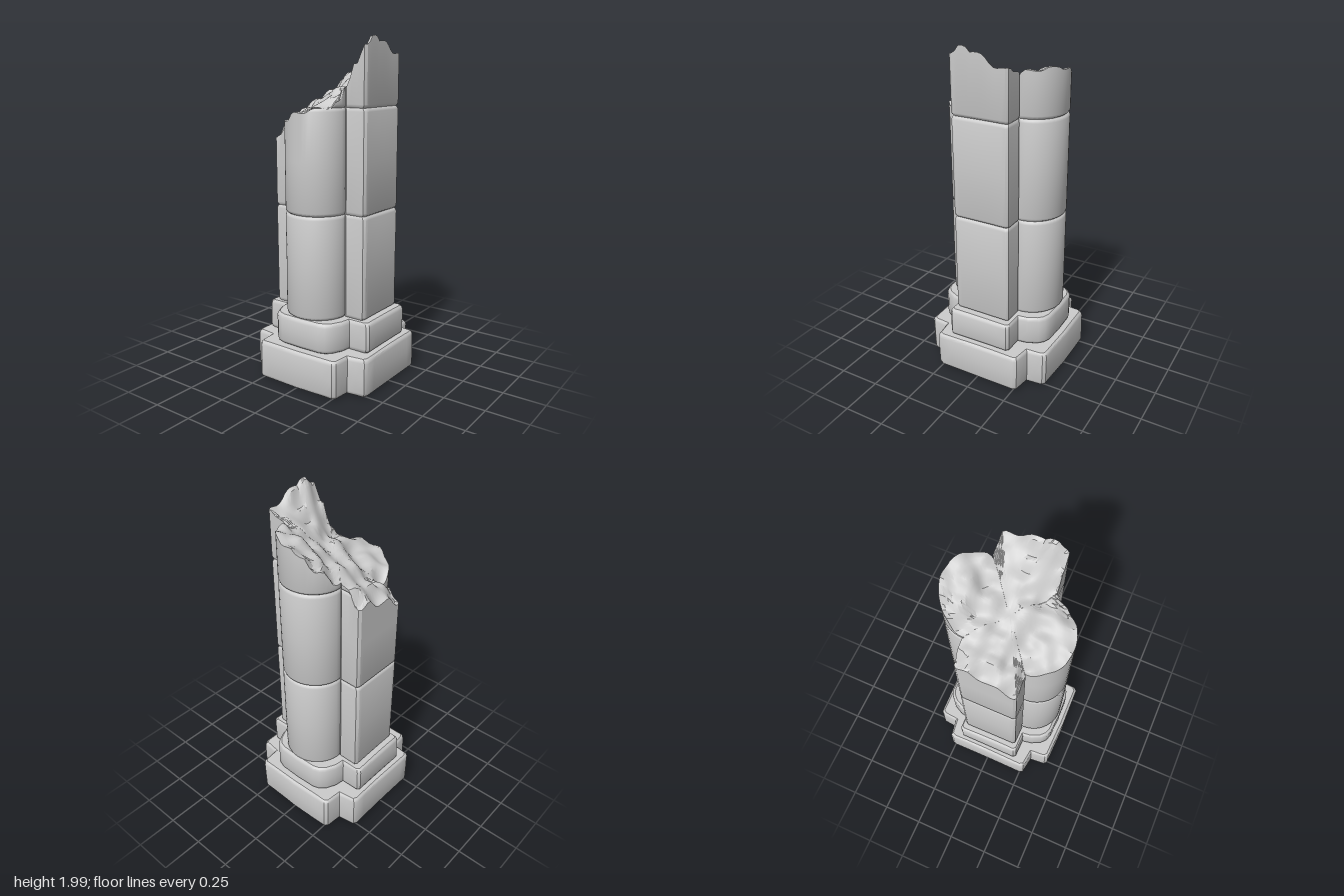
import * as THREE from 'three';
import { toCreasedNormals } from 'three/addons/utils/BufferGeometryUtils.js';

const material = new THREE.MeshStandardMaterial({ color: 0xcccccc });

// Mirrors a quarter outline (from +x to +z) into a full loop and subdivides long edges
function outline(quarter, step) {
  const back = [...quarter].reverse();
  const full = [
    ...quarter,
    ...back.slice(1).map(([x, z]) => [-x, z]),
    ...quarter.slice(1).map(([x, z]) => [-x, -z]),
    ...back.slice(1, -1).map(([x, z]) => [x, -z]),
  ];
  const loop = [];
  full.forEach(([x, z], i) => {
    const [nx, nz] = full[(i + 1) % full.length];
    const n = Math.max(1, Math.ceil(Math.hypot(nx - x, nz - z) / step));
    for (let k = 0; k < n; k++) loop.push([x + ((nx - x) * k) / n, z + ((nz - z) * k) / n]);
  });
  return loop;
}

// Skins a stack of rings; each ring = { inset, scale, y } where y is a number or y(x, z)
function loft(name, loop, rings, wobble = 0) {
  const pos = [], index = [], n = loop.length;
  rings.forEach(({ inset = 0, scale = 1, y }, r) => {
    loop.forEach(([x, z], i) => {
      const s = scale * (1 - inset / Math.hypot(x, z));
      const px = x * s, pz = z * s;
      const py = typeof y === 'function' ? y(px, pz) : y;
      const w = 1 + wobble * Math.sin(9 * py + 7 * x) * Math.cos(8 * z + 5 * py);
      pos.push(px * w, py, pz * w);
      if (r === 0) return;
      const j = (i + 1) % n, a = (r - 1) * n, b = r * n;
      index.push(a + i, b + i, a + j, a + j, b + i, b + j);
    });
  });
  const geo = new THREE.BufferGeometry();
  geo.setAttribute('position', new THREE.Float32BufferAttribute(pos, 3));
  geo.setIndex(index);
  const mesh = new THREE.Mesh(toCreasedNormals(geo, 0.6), material);
  mesh.name = name;
  return mesh;
}

// Rings of a whole stone with worn top and bottom edges
function stoneRings(y0, y1, bevel) {
  return [
    { scale: 0, y: y0 },
    { inset: bevel, y: y0 },
    { inset: bevel * 0.3, y: y0 + bevel * 0.5 },
    { y: y0 + bevel * 1.3 },
    { y: (y0 + y1) / 2 },
    { y: y1 - bevel * 1.3 },
    { inset: bevel * 0.3, y: y1 - bevel * 0.5 },
    { inset: bevel, y: y1 },
    { scale: 0, y: y1 },
  ];
}

// Control points (x, z, height) of the fractured surface
const FRACTURE = [
  [0.32, 0.175, 1.95], [0.32, 0.1, 2.0], [0.32, 0, 1.97], [0.32, -0.175, 1.91],
  [0.25, 0.175, 1.85], [0.19, 0.175, 1.73], [0.25, 0, 1.87], [0.18, 0, 1.79], [0.25, -0.15, 1.88],
  [0.18, 0.22, 1.65], [0.15, 0.28, 1.61], [0, 0.36, 1.59], [-0.1, 0.33, 1.54],
  [-0.187, 0.18, 1.48], [0, 0.18, 1.61], [0.12, 0.15, 1.67], [0.08, 0.05, 1.72],
  [0, 0, 1.69], [-0.1, 0, 1.65], [-0.1, 0.15, 1.57], [-0.2, 0, 1.59], [-0.2, 0.1, 1.53],
  [-0.32, 0, 1.5], [-0.32, 0.175, 1.42], [-0.32, -0.175, 1.54], [-0.22, -0.15, 1.64],
  [0, -0.36, 1.87], [0.1, -0.33, 1.89], [0.18, -0.22, 1.88], [0.05, -0.25, 1.87],
  [-0.08, -0.33, 1.83], [-0.13, -0.3, 1.75], [-0.187, -0.18, 1.65], [-0.06, -0.25, 1.8],
  [0.05, -0.13, 1.76], [-0.1, -0.13, 1.7], [0.15, -0.15, 1.83],
];

// Height of the fracture by inverse distance weighting, with slight roughness
function fracture(x, z) {
  let sum = 0, total = 0;
  for (const [px, pz, h] of FRACTURE) {
    const w = 1 / (((x - px) ** 2 + (z - pz) ** 2) ** 1.7 + 1e-6);
    sum += w * h;
    total += w;
  }
  const rough = 0.006 * Math.sin(31 * x + 17 * z) * Math.cos(27 * z - 12 * x);
  return Math.min(2, sum / total + rough);
}

export function createModel() {
  const model = new THREE.Group();
  model.name = 'brokenColumn';

  // Stepped base
  const plinth = outline([[0.4, 0], [0.4, 0.25], [0.388, 0.272], [0.285, 0.288],
    [0.275, 0.385], [0.258, 0.402], [0, 0.411]], 0.08);
  model.add(loft('plinth', plinth, stoneRings(0.005, 0.235, 0.018), 0.006));

  const collar = outline([[0.365, 0], [0.365, 0.185], [0.35, 0.2], [0.24, 0.202], [0.23, 0.26],
    [0.2, 0.32], [0.17, 0.348], [0.13, 0.362], [0, 0.367]], 0.08);
  model.add(loft('collar', collar, stoneRings(0.235, 0.415, 0.018), 0.005));

  // Shaft section: a rectangular pier with a half round on the front and back
  const arc = [];
  for (let i = 12; i >= 0; i--) {
    const a = Math.PI / 2 - (i / 12) * (Math.PI / 2);
    arc.push([0.187 * Math.cos(a), 0.178 + 0.183 * Math.sin(a)]);
  }
  const shaft = outline([[0.32, 0], [0.32, 0.16], [0.309, 0.176], [0.196, 0.176],
    [0.182, 0.165], ...arc], 0.025);
  model.add(loft('lowerShaftStone', shaft, stoneRings(0.415, 1.02, 0.015), 0.004));

  // Middle stone, cut off wherever the fracture dips below the joint
  const joint = 1.615, bevel = 0.015;
  const cut = (limit) => (x, z) => Math.min(limit, fracture(x, z));
  const middle = stoneRings(1.02, joint, bevel).slice(0, 8)
    .map((ring) => (ring.y > 1.35 ? { ...ring, y: cut(ring.y) } : ring));
  model.add(loft('middleShaftStone', shaft, middle));

  // Upper stone with the fractured top
  const top = [
    { inset: bevel, y: cut(joint) },
    { inset: bevel * 0.3, y: cut(joint + bevel * 0.5) },
    { y: cut(joint + bevel * 1.3) },
  ];
  for (let i = 0; i <= 16; i++) top.push({ scale: 1 - i / 16, y: fracture });
  model.add(loft('brokenUpperStone', shaft, top));

  // Rest the base exactly on the ground
  model.children.forEach((mesh) => mesh.geometry.translate(0, mesh.name === 'plinth' ? -0.002 : 0, 0));
  return model;
}
